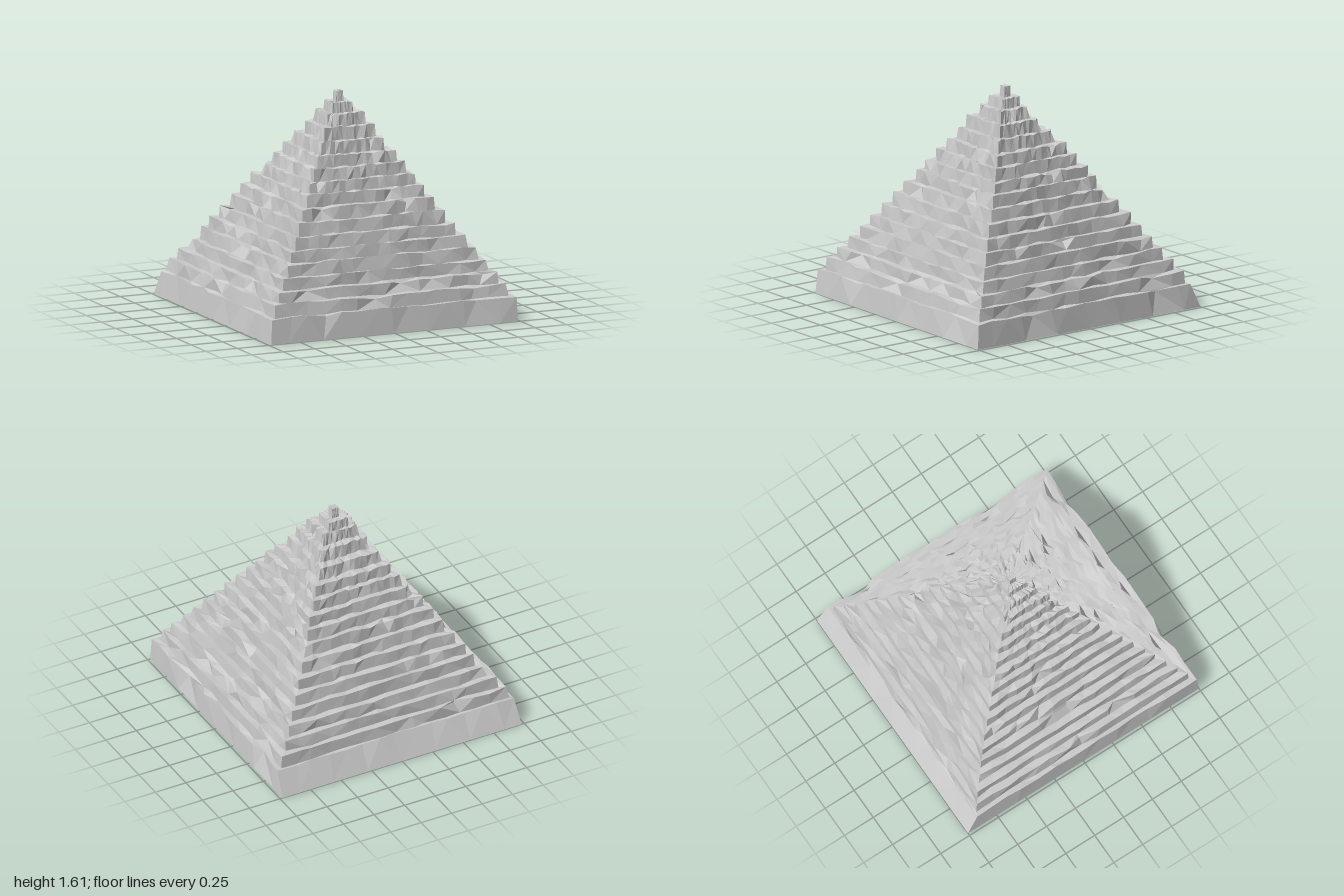
import * as THREE from 'three';

// Each course: [top height, -x edge, +x edge, -z edge, +z edge] at its top
const COURSES = [
  [0.185, -0.965, 0.97, -0.91, 0.985],
  [0.275, -0.92, 0.92, -0.885, 0.94],
  [0.355, -0.86, 0.865, -0.835, 0.88],
  [0.435, -0.80, 0.81, -0.785, 0.825],
  [0.525, -0.74, 0.755, -0.73, 0.775],
  [0.605, -0.685, 0.695, -0.675, 0.715],
  [0.69, -0.625, 0.64, -0.62, 0.66],
  [0.78, -0.57, 0.58, -0.56, 0.60],
  [0.87, -0.515, 0.53, -0.50, 0.545],
  [0.955, -0.46, 0.475, -0.445, 0.49],
  [1.03, -0.41, 0.425, -0.39, 0.435],
  [1.115, -0.35, 0.365, -0.335, 0.38],
  [1.195, -0.295, 0.315, -0.28, 0.325],
  [1.285, -0.24, 0.25, -0.215, 0.27],
  [1.375, -0.19, 0.20, -0.135, 0.22],
  [1.46, -0.135, 0.14, -0.07, 0.165],
  [1.53, -0.075, 0.08, -0.045, 0.11],
  [1.605, -0.022, 0.03, 0.003, 0.053],
];
const N = 14; // points along each side

function makeRandom(seed) {
  return () => {
    seed = (seed * 1664525 + 1013904223) >>> 0;
    return seed / 4294967296;
  };
}

// Rectangular ring of points, anticlockwise seen from above, with worn edges
function ring(y, x0, x1, z0, z1, rough, chipChance, random) {
  const corners = [[x0, z1], [x1, z1], [x1, z0], [x0, z0]];
  const cx = (x0 + x1) / 2, cz = (z0 + z1) / 2;
  const spacing = (x1 - x0) / N;
  const points = [];
  for (let s = 0; s < 4; s++) {
    const a = corners[s], b = corners[(s + 1) % 4];
    for (let i = 0; i < N; i++) {
      const slide = i && rough ? (random() - 0.5) * 0.5 * spacing : 0;
      const t = i / N;
      let x = a[0] + (b[0] - a[0]) * t + (s % 2 ? 0 : slide);
      let z = a[1] + (b[1] - a[1]) * t + (s % 2 ? slide : 0);
      const chip = random() < chipChance ? 0.01 + random() * 0.025 : 0;
      const inset = chip + (random() - 0.5) * rough;
      // sides move across their own face, corners move diagonally
      if (i === 0 || s % 2) x -= Math.sign(x - cx) * inset;
      if (i === 0 || s % 2 === 0) z -= Math.sign(z - cz) * inset;
      points.push([x, y + (random() - 0.5) * rough - chip * 0.7, z]);
    }
  }
  return points;
}

// Flat-sided band joining consecutive rings, optionally closed at the end
function bandGeometry(rings, capped) {
  const count = 4 * N;
  const positions = rings.flat(2);
  const index = [];
  for (let r = 0; r < rings.length - 1; r++) {
    for (let i = 0; i < count; i++) {
      const j = (i + 1) % count;
      const a = r * count + i, b = r * count + j;
      const c = a + count, d = b + count;
      if ((i + r) % 2) index.push(a, b, d, a, d, c);
      else index.push(a, b, c, b, d, c);
    }
  }
  if (capped) {
    const last = (rings.length - 1) * count;
    for (let i = 1; i < count - 1; i++) index.push(last, last + i, last + i + 1);
  }
  const geometry = new THREE.BufferGeometry();
  geometry.setAttribute('position', new THREE.Float32BufferAttribute(positions, 3));
  geometry.setIndex(index);
  geometry.computeVertexNormals();
  return geometry;
}

export function createModel() {
  const group = new THREE.Group();
  group.name = 'steppedPyramid';
  const random = makeRandom(7);
  const material = new THREE.MeshStandardMaterial({
    color: 0xcccccc, flatShading: true, side: THREE.DoubleSide,
  });

  // Foot and top edge of every riser; the lowest foot is the clean ground outline
  const feet = [], tops = [];
  COURSES.forEach(([y, x0, x1, z0, z1], k) => {
    const rough = Math.min(0.016, (x1 - x0) * 0.06);
    const flare = Math.min(0.007, (x1 - x0) * 0.04);
    feet.push(k === 0
      ? ring(0, -0.98, 0.98, -1, 1, 0, 0, random)
      : ring(COURSES[k - 1][0] - 0.003, x0 - flare, x1 + flare, z0 - flare, z1 + flare,
        rough, 0, random));
    tops.push(ring(y, x0, x1, z0, z1, rough, x1 > 0.1 ? 0.08 : 0, random));
  });

  // Each course is a riser plus the tread leading to the next; the underside is open
  COURSES.forEach((_, k) => {
    const isTop = k === COURSES.length - 1;
    const rings = [feet[k], tops[k]];
    if (!isTop) rings.push(feet[k + 1]);
    const mesh = new THREE.Mesh(bandGeometry(rings, isTop), material);
    mesh.name = isTop ? 'capstone' : k === 0 ? 'baseCourse' : `stepCourse${k}`;
    group.add(mesh);
  });
  return group;
}
